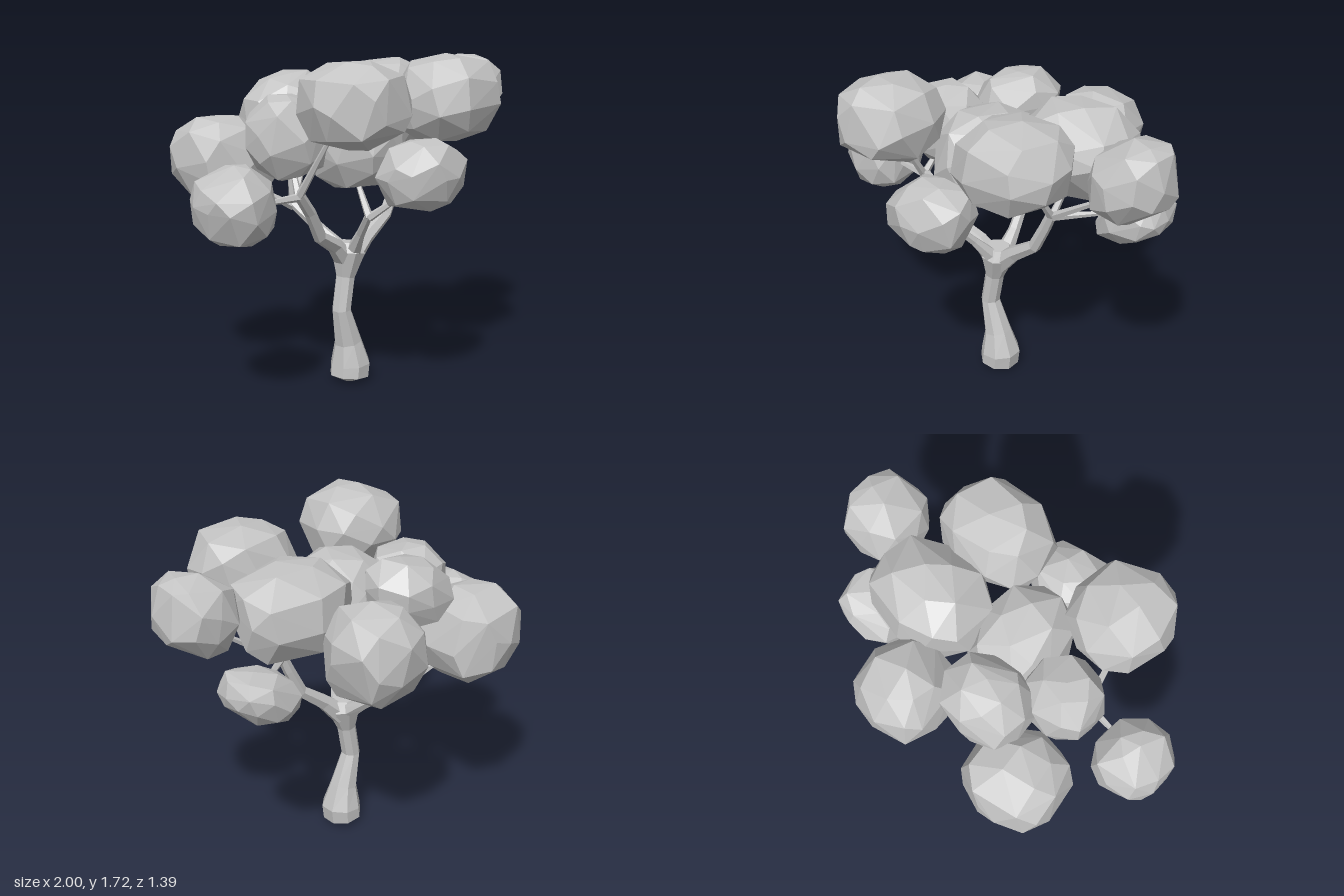
import * as THREE from 'three';
import { ConvexGeometry } from 'three/addons/geometries/ConvexGeometry.js';

const grey = new THREE.MeshStandardMaterial({ color: 0xc4c4c4, flatShading: true });
grey.name = 'plain grey';

function seeded(seed) {
  let s = seed * 7919 + 17;
  return () => {
    s = (s * 16807) % 2147483647;
    return s / 2147483647;
  };
}

// Faceted limb: rings of the given radius around a path of [x, y, z, radius]
function limb(name, path, sides) {
  const pts = path.map((p) => new THREE.Vector3(p[0], p[1], p[2]));
  const pos = [];
  const index = [];
  const ref = new THREE.Vector3(0, 0, 1);
  path.forEach((p, i) => {
    const t = pts[Math.min(i + 1, pts.length - 1)].clone().sub(pts[Math.max(i - 1, 0)]).normalize();
    const u = new THREE.Vector3().crossVectors(t, ref).normalize();
    const v = new THREE.Vector3().crossVectors(t, u);
    for (let k = 0; k < sides; k++) {
      const a = ((k + 0.5) / sides) * Math.PI * 2;
      const q = pts[i].clone().addScaledVector(u, Math.cos(a) * p[3]).addScaledVector(v, Math.sin(a) * p[3]);
      pos.push(q.x, q.y, q.z);
    }
    if (i === 0) return;
    for (let k = 0; k < sides; k++) {
      const a = (i - 1) * sides + k;
      const b = (i - 1) * sides + ((k + 1) % sides);
      index.push(a, b, b + sides, a, b + sides, a + sides);
    }
  });
  // Flat caps at both ends
  const last = (path.length - 1) * sides;
  for (let k = 1; k < sides - 1; k++) {
    index.push(0, k + 1, k, last, last + k, last + k + 1);
  }
  const g = new THREE.BufferGeometry();
  g.setAttribute('position', new THREE.Float32BufferAttribute(pos, 3));
  g.setIndex(index);
  const flat = g.toNonIndexed();
  flat.computeVertexNormals();
  const mesh = new THREE.Mesh(flat, grey);
  mesh.name = name;
  return mesh;
}

// Irregular convex clump of leaves, fitted to a centre and half sizes;
// tilt raises its +x side
function foliage(name, center, half, tilt, seed) {
  const rnd = seeded(seed);
  const n = 34;
  const turn = new THREE.Euler(rnd() * 6, rnd() * 6, rnd() * 6);
  const pts = [];
  for (let i = 0; i < n; i++) {
    const y = 1 - (2 * (i + 0.5)) / n;
    const r = Math.sqrt(1 - y * y);
    const a = i * 2.39996 + (rnd() - 0.5) * 0.5;
    const p = new THREE.Vector3(r * Math.cos(a), y, r * Math.sin(a)).applyEuler(turn);
    // slightly boxy roundness
    const e = 2.6;
    const d = Math.pow(Math.abs(p.x) ** e + Math.abs(p.y) ** e + Math.abs(p.z) ** e, 1 / e);
    p.multiplyScalar((0.97 + rnd() * 0.06) / d);
    p.y += tilt * p.x;
    pts.push(p);
  }
  const box = new THREE.Box3().setFromPoints(pts);
  const mid = box.getCenter(new THREE.Vector3());
  const size = box.getSize(new THREE.Vector3());
  const scale = new THREE.Vector3(...half).multiplyScalar(2).divide(size);
  pts.forEach((p) => p.sub(mid).multiply(scale));
  const mesh = new THREE.Mesh(new ConvexGeometry(pts), grey);
  mesh.name = name;
  mesh.position.set(...center);
  return mesh;
}

export function createModel() {
  const tree = new THREE.Group();
  tree.name = 'tree';

  // Trunk with a flared foot and a widened fork
  tree.add(limb('trunk', [
    [-0.03, 0.005, 0.03, 0.03], [-0.03, 0.035, 0.03, 0.104], [-0.022, 0.1, 0.03, 0.106],
    [-0.04, 0.22, 0.03, 0.073], [-0.09, 0.4, 0.03, 0.05], [-0.06, 0.57, 0.03, 0.05],
    [-0.04, 0.7, 0.03, 0.092], [-0.035, 0.75, 0.03, 0.06],
  ], 8));

  // Main boughs
  const boughs = {
    leftBough: [[-0.02, 0.66, 0.03, 0.06], [0.08, 0.755, 0.045, 0.042], [0.22, 0.86, 0.06, 0.034], [0.29, 1.0, 0.065, 0.03], [0.33, 1.09, 0.07, 0.027]],
    rightBough: [[-0.05, 0.65, 0.03, 0.06], [-0.15, 0.75, 0.04, 0.042], [-0.28, 0.82, 0.06, 0.034], [-0.37, 0.96, 0.08, 0.03], [-0.47, 1.07, 0.1, 0.027]],
    frontBough: [[-0.04, 0.69, 0.06, 0.045], [-0.09, 0.82, 0.16, 0.024], [-0.14, 0.94, 0.26, 0.02]],
    backBough: [[-0.03, 0.68, 0.0, 0.05], [-0.05, 0.77, -0.12, 0.032], [-0.1, 0.91, -0.3, 0.024]],
  };
  for (const [name, path] of Object.entries(boughs)) tree.add(limb(name, path, 6));

  // Twigs from each bough tip into the foliage: [bough, end point]
  const twigs = [
    ['leftBough', [0.33, 1.34, 0.26]],
    ['leftBough', [0.72, 1.34, 0.1]],
    ['leftBough', [0.56, 1.1, -0.11]],
    ['leftBough', [0.37, 1.28, -0.04]],
    ['rightBough', [-0.46, 1.38, 0.31]],
    ['rightBough', [-0.72, 1.05, 0.06]],
    ['rightBough', [-0.42, 1.22, 0.0]],
    ['frontBough', [-0.07, 1.06, 0.43]],
    ['frontBough', [-0.12, 1.14, 0.14]],
    ['backBough', [0.12, 1.12, -0.42]],
    ['backBough', [-0.35, 1.05, -0.4]],
    ['backBough', [-0.14, 1.28, -0.3]],
  ];
  for (const [bough, end] of twigs) {
    const start = boughs[bough].at(-1);
    tree.add(limb('twig', [[start[0], start[1] - 0.015, start[2], 0.022], [...end, 0.01]], 5));
  }

  // Foliage clumps: name, centre, half sizes, tilt
  const clumps = [
    ['frontRightFoliage', [-0.405, 1.515, 0.39], [0.255, 0.205, 0.255], 0],
    ['frontLeftFoliage', [0.325, 1.485, 0.365], [0.285, 0.215, 0.235], 0.08],
    ['outerLeftFoliage', [0.805, 1.45, 0.105], [0.195, 0.2, 0.205], 0.1],
    ['innerLeftFoliage', [0.37, 1.41, -0.07], [0.305, 0.24, 0.245], 0],
    ['lowerLeftFoliage', [0.655, 1.08, -0.175], [0.187, 0.14, 0.17], 0.35],
    ['backLeftFoliage', [0.2, 1.27, -0.465], [0.23, 0.25, 0.235], 0],
    ['backRightFoliage', [-0.455, 1.165, -0.435], [0.255, 0.235, 0.24], -0.1],
    ['upperBackFoliage', [-0.16, 1.42, -0.295], [0.22, 0.185, 0.195], 0.25],
    ['innerRightFoliage', [-0.405, 1.32, -0.03], [0.195, 0.21, 0.19], 0],
    ['outerRightFoliage', [-0.815, 1.06, 0.02], [0.185, 0.19, 0.195], 0],
    ['lowerFrontFoliage', [-0.05, 1.16, 0.515], [0.22, 0.17, 0.18], 0.08],
    ['middleFoliage', [-0.065, 1.29, 0.085], [0.225, 0.25, 0.275], 0],
  ];
  clumps.forEach(([name, c, h, tilt], i) => tree.add(foliage(name, c, h, tilt, i + 3)));
  return tree;
}
